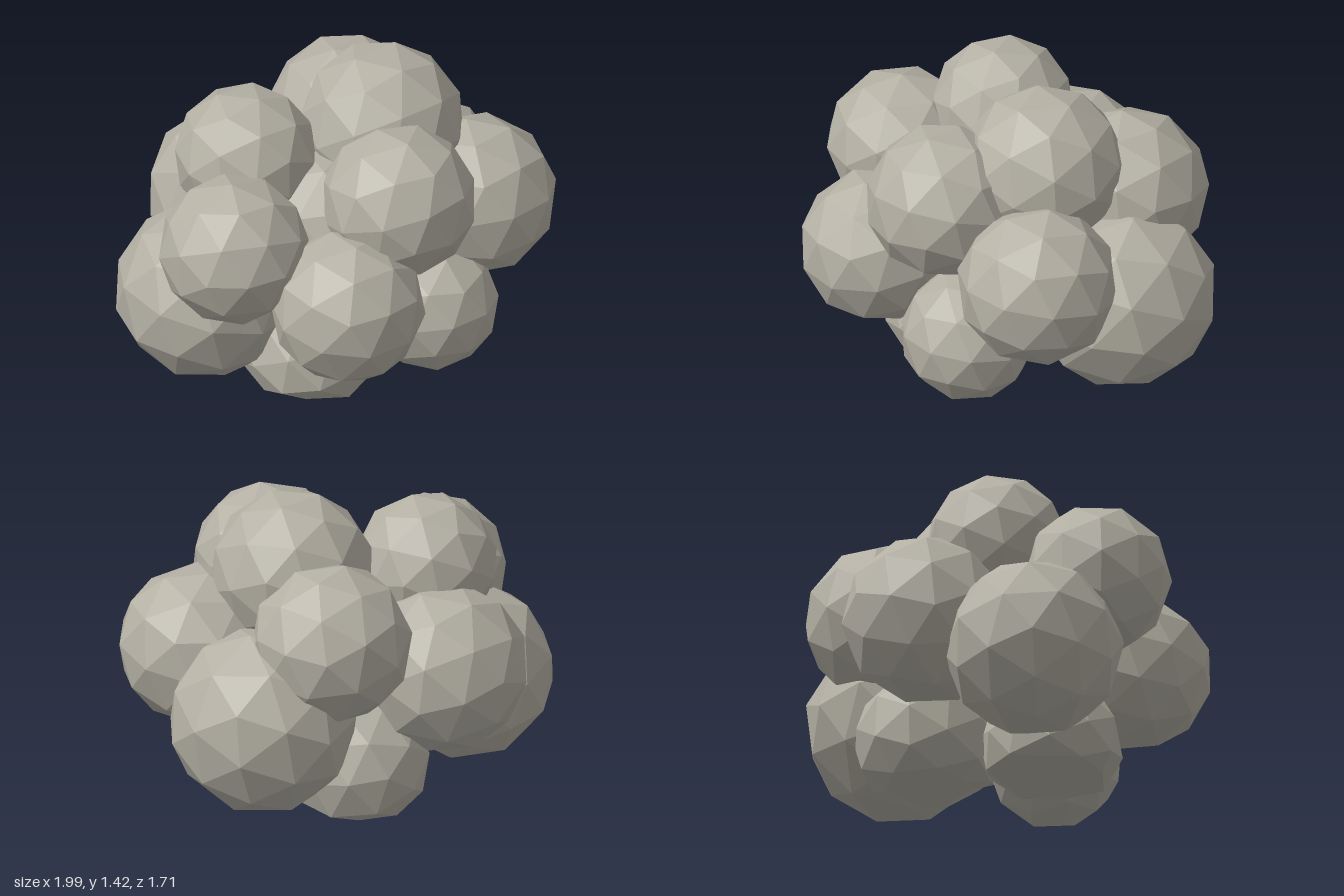
import * as THREE from 'three';

// name, centre x, y, z, radius
const LOBES = [
  ['topLobe', 0.25, 1.07, 0.03, 0.37],
  ['upperFrontLobe', 0.03, 0.94, 0.43, 0.35],
  ['upperRightLobe', -0.66, 0.80, 0.12, 0.34],
  ['frontRightLobe', -0.33, 0.57, 0.52, 0.35],
  ['upperBackRightLobe', -0.34, 1.01, -0.20, 0.325],
  ['frontLeftLobe', 0.56, 0.71, 0.31, 0.365],
  ['lowerFrontLobe', 0.21, 0.33, 0.43, 0.305],
  ['leftLobe', 0.58, 0.50, -0.15, 0.43],
  ['upperBackLeftLobe', 0.36, 0.87, -0.36, 0.365],
  ['backLobe', -0.20, 0.64, -0.48, 0.385],
  ['lowerRightLobe', -0.60, 0.42, -0.17, 0.405],
  ['frontBaseLobe', -0.24, 0.15, 0.14, 0.325],
  ['backBaseLobe', 0.14, 0.22, -0.27, 0.335],
  ['core', -0.08, 0.65, 0.05, 0.41],
];

export function createModel() {
  const group = new THREE.Group();
  group.name = 'boulderCluster';
  const stone = new THREE.MeshStandardMaterial({ color: 0xb4b0a4, flatShading: true });
  stone.name = 'warm grey stone';

  LOBES.forEach(([name, x, y, z, r], i) => {
    // Faceted ball, each one turned differently
    const geo = new THREE.IcosahedronGeometry(r, 1);
    if (name !== 'frontBaseLobe') {
      geo.rotateX(i * 1.3 + 0.4).rotateY(i * 2.1).rotateZ(i * 0.7);
    } else {
      geo.rotateX(Math.atan(2 / (1 + Math.sqrt(5)))); // corner straight up
    }
    geo.translate(x, y, z);

    // Flatten whatever dips below the ground
    const pos = geo.attributes.position;
    for (let v = 0; v < pos.count; v++) pos.setY(v, Math.max(0, pos.getY(v)));
    geo.computeVertexNormals();

    const mesh = new THREE.Mesh(geo, stone);
    mesh.name = name;
    group.add(mesh);
  });
  return group;
}
